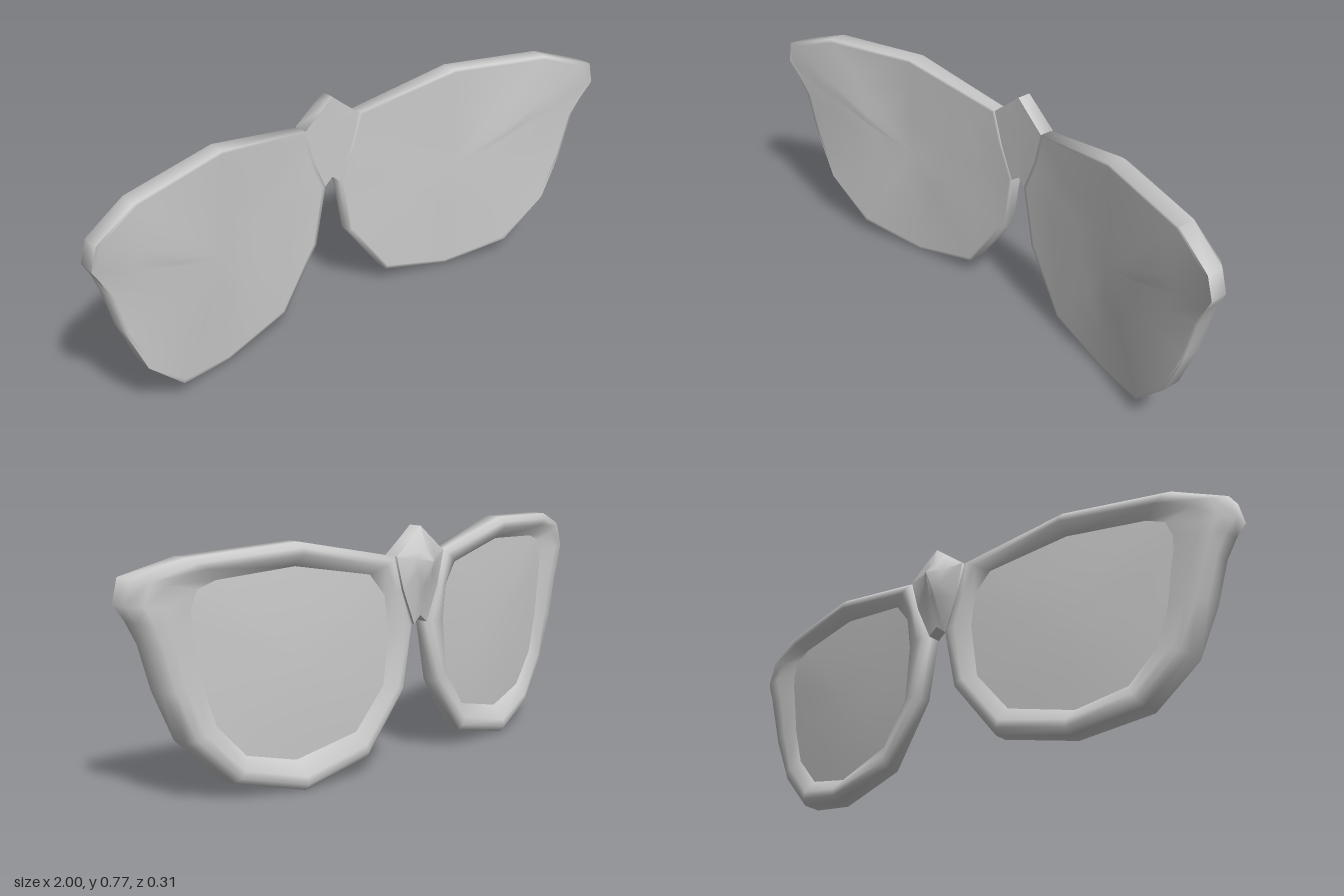
import * as THREE from 'three';
import { toCreasedNormals } from 'three/addons/utils/BufferGeometryUtils.js';

// Depth tables across the half width: front surface, lens back, rim thickness
const FRONT = [[0, -0.054], [0.1, -0.052], [0.22, -0.032], [0.47, 0.011], [0.69, 0.079], [0.83, 0.117], [0.94, 0.128], [1.01, 0.158]];
const LENS_BACK = [[0.1, -0.088], [0.47, -0.024], [0.8, 0.041], [1.01, 0.08]];
const THICKNESS = [[0, 0.052], [0.22, 0.06], [0.5, 0.08], [0.7, 0.085], [1.01, 0.077]];
function lookup(table, x) {
  const ax = Math.abs(x);
  for (let i = 1; i < table.length; i++) {
    const [x0, v0] = table[i - 1], [x1, v1] = table[i];
    if (ax <= x1) return v0 + (v1 - v0) * (ax - x0) / (x1 - x0);
  }
  return table[table.length - 1][1];
}
const frontZ = (x) => lookup(FRONT, x);
const lensZ = (bulge) => (x) => lookup(LENS_BACK, x) - bulge;
const rimZ = (share) => (x) => frontZ(x) - lookup(THICKNESS, x) * share;

// Outer outline (x, y, optional lean in z) and lens opening of one side,
// counter-clockwise from the bridge
const OUTER = [[0.03, 0.465], [0.07, 0.26], [0.22, 0.06], [0.47, 0.003, -0.01], [0.69, 0.058], [0.83, 0.2], [0.9, 0.36], [0.94, 0.5],
  [0.97, 0.57], [1, 0.62], [0.98, 0.695, 0.01], [0.82, 0.745, -0.018], [0.47, 0.765, 0.006], [0.11, 0.69], [0.08, 0.58]];
const OPENING = [[0.13, 0.46], [0.15, 0.28], [0.255, 0.145], [0.475, 0.093], [0.645, 0.135], [0.74, 0.24], [0.78, 0.37], [0.8, 0.5],
  [0.81, 0.55], [0.81, 0.6], [0.79, 0.65], [0.73, 0.672], [0.47, 0.69], [0.2, 0.64], [0.145, 0.57]];
const MIDDLE = OUTER.map(() => [0.48, 0.4]);

// Blend two outlines and give each point its depth
function loop(a, b, t, depthAt) {
  return a.map(([x, y, lean = 0], i) => {
    const px = x + (b[i][0] - x) * t, py = y + (b[i][1] - y) * t;
    return [px, py, depthAt(px) + lean * (1 - t)];
  });
}

// Skin a list of closed loops; side = -1 mirrors in x
function skin(loops, side, crease) {
  const pos = [];
  const tri = (a, b, c) => {
    for (const p of side > 0 ? [a, b, c] : [a, c, b]) pos.push(p[0] * side, p[1], p[2]);
  };
  for (let k = 0; k + 1 < loops.length; k++) {
    const a = loops[k], b = loops[k + 1], n = a.length;
    for (let i = 0; i < n; i++) {
      const j = (i + 1) % n;
      tri(a[i], b[i], b[j]);
      tri(a[i], b[j], a[j]);
    }
  }
  const g = new THREE.BufferGeometry();
  g.setAttribute('position', new THREE.Float32BufferAttribute(pos, 3));
  return toCreasedNormals(g, crease);
}

export function createModel() {
  const group = new THREE.Group();
  const grey = new THREE.MeshStandardMaterial({ color: 0xcccccc });
  grey.name = 'grey';
  const add = (name, geometry) => {
    const mesh = new THREE.Mesh(geometry, grey);
    mesh.name = name;
    group.add(mesh);
  };

  for (const [label, side] of [['left', 1], ['right', -1]]) {
    // Smooth front, edge wall and rounded rim at the back
    add(label + 'Frame', skin([
      loop(MIDDLE, MIDDLE, 0, frontZ),
      loop(OUTER, MIDDLE, 0.65, frontZ),
      loop(OUTER, MIDDLE, 0.3, frontZ),
      loop(OUTER, MIDDLE, 0.03, frontZ),
      loop(OUTER, MIDDLE, 0, frontZ),
      loop(OUTER, OPENING, 0, rimZ(0.75)),
      loop(OUTER, OPENING, 0.22, rimZ(1)),
      loop(OUTER, OPENING, 0.5, rimZ(1)),
      loop(OUTER, OPENING, 1, lensZ(0)),
    ], side, 1.75));

    // Recessed, slightly bulging back of the lens
    add(label + 'Lens', skin([
      loop(OPENING, MIDDLE, 0, lensZ(0)),
      loop(OPENING, MIDDLE, 0.35, lensZ(0.006)),
      loop(OPENING, MIDDLE, 0.7, lensZ(0.009)),
      loop(MIDDLE, MIDDLE, 0, lensZ(0.01)),
    ], side, 1.0));
  }

  // Bridge: flat front and a pointed ridge at the back
  const half = [[0.03, 0.465], [0.08, 0.58], [0.11, 0.69], [0.04, 0.745]];
  const ring = [[0, 0.49], ...half, [0, 0.778], ...half.map(([x, y]) => [-x, y]).reverse()];
  const peak = ring.map(() => [0, 0.67]);
  add('bridge', skin([
    loop(peak, peak, 0, frontZ),
    loop(ring, peak, 0, frontZ),
    loop(ring, peak, 0, rimZ(0.9)),
    loop(ring, peak, 0.6, () => -0.122),
    loop(peak, peak, 0, () => -0.157),
  ], 1, 1.2));

  return group;
}
